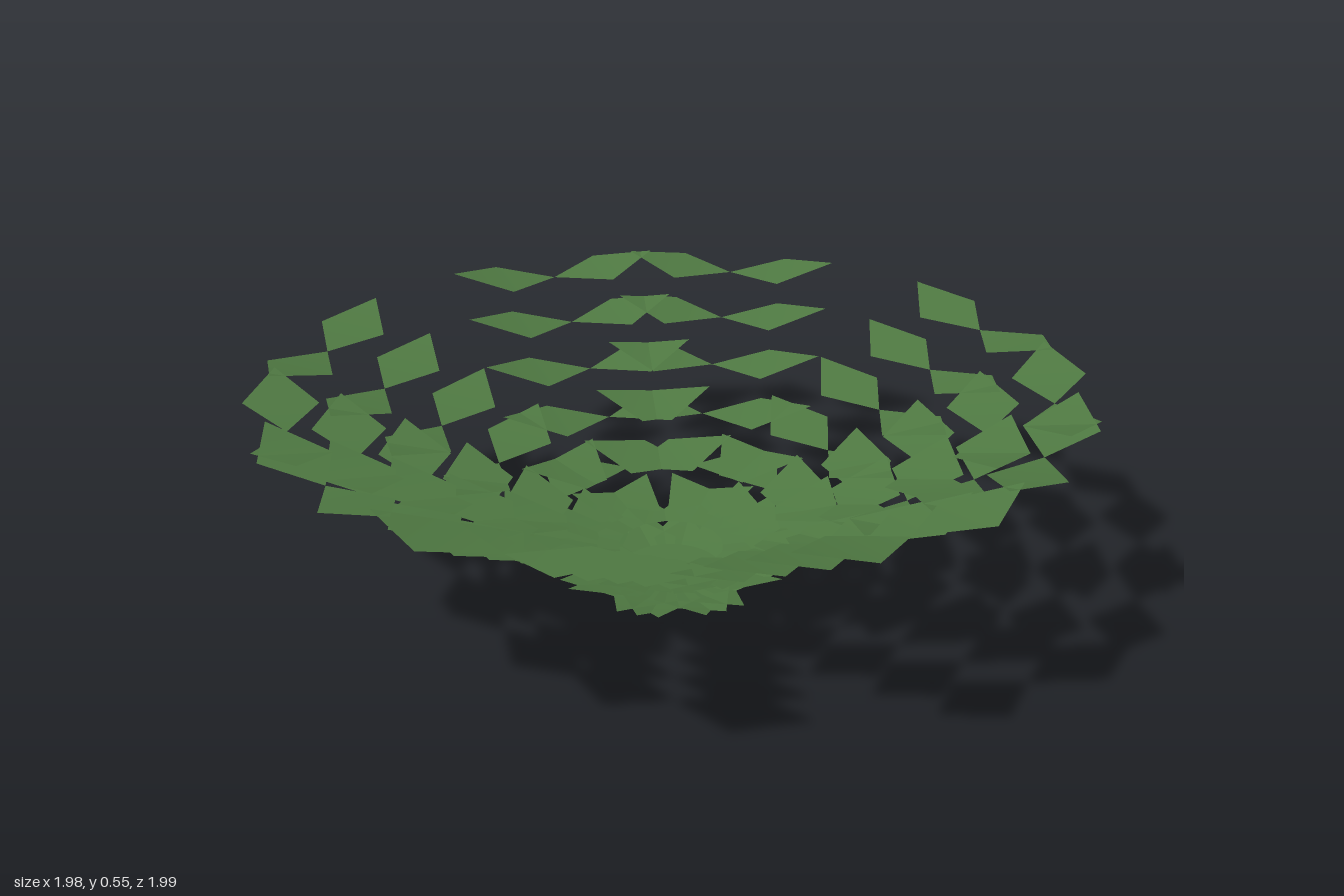
import * as THREE from 'three';

const LAYERS = 7;
const LEAVES = 10;
const GOLDEN_ANGLE = Math.PI * (3 - Math.sqrt(5));
const RADIUS_STEP = 0.15;
const HEIGHT_STEP = 0.0842;

// A pair of diamond blades meeting at the stem point, curving up towards both
// tips and pitched slightly up on the outer edge (+x points outwards).
function leafPairGeometry() {
  const positions = [];
  const index = [];
  const half = 0.146, depth = 0.087;
  for (const side of [1, -1]) {
    const base = positions.length / 3;
    positions.push(
      0, 0, 0,                        // stem point
      depth, 0.021, -side * half,     // outer corner
      0, 0.045, -side * half * 2,     // far tip
      -depth, 0.002, -side * half     // inner corner
    );
    const faces = side > 0 ? [0, 1, 3, 1, 2, 3] : [0, 3, 1, 1, 3, 2];
    index.push(...faces.map((i) => base + i));
  }
  const geometry = new THREE.BufferGeometry();
  geometry.setAttribute('position', new THREE.Float32BufferAttribute(positions, 3));
  geometry.setIndex(index);
  geometry.computeVertexNormals();
  return geometry;
}

export function createModel() {
  const model = new THREE.Group();
  model.name = 'leafRosette';
  const green = new THREE.MeshStandardMaterial({ color: 0x4f7942, side: THREE.DoubleSide });
  const leafGeometry = leafPairGeometry();

  // Widening rings of leaves, spaced by the golden angle
  for (let layer = 0; layer < LAYERS; layer++) {
    const ring = new THREE.Group();
    ring.name = `leafRing${layer + 1}`;
    ring.position.y = layer * HEIGHT_STEP;
    for (let i = 0; i < LEAVES; i++) {
      const angle = -i * GOLDEN_ANGLE;
      const radius = layer * RADIUS_STEP;
      const leaf = new THREE.Mesh(leafGeometry, green);
      leaf.name = 'leafPair';
      leaf.position.set(radius * Math.cos(angle), 0, -radius * Math.sin(angle));
      leaf.rotation.y = angle;
      ring.add(leaf);
    }
    model.add(ring);
  }

  // Flat round heart in the middle of the lowest ring
  const heart = new THREE.Mesh(new THREE.CircleGeometry(0.125, 32), green);
  heart.name = 'heartDisc';
  heart.rotation.x = -Math.PI / 2;
  heart.position.y = 0.022;
  model.add(heart);

  return model;
}
